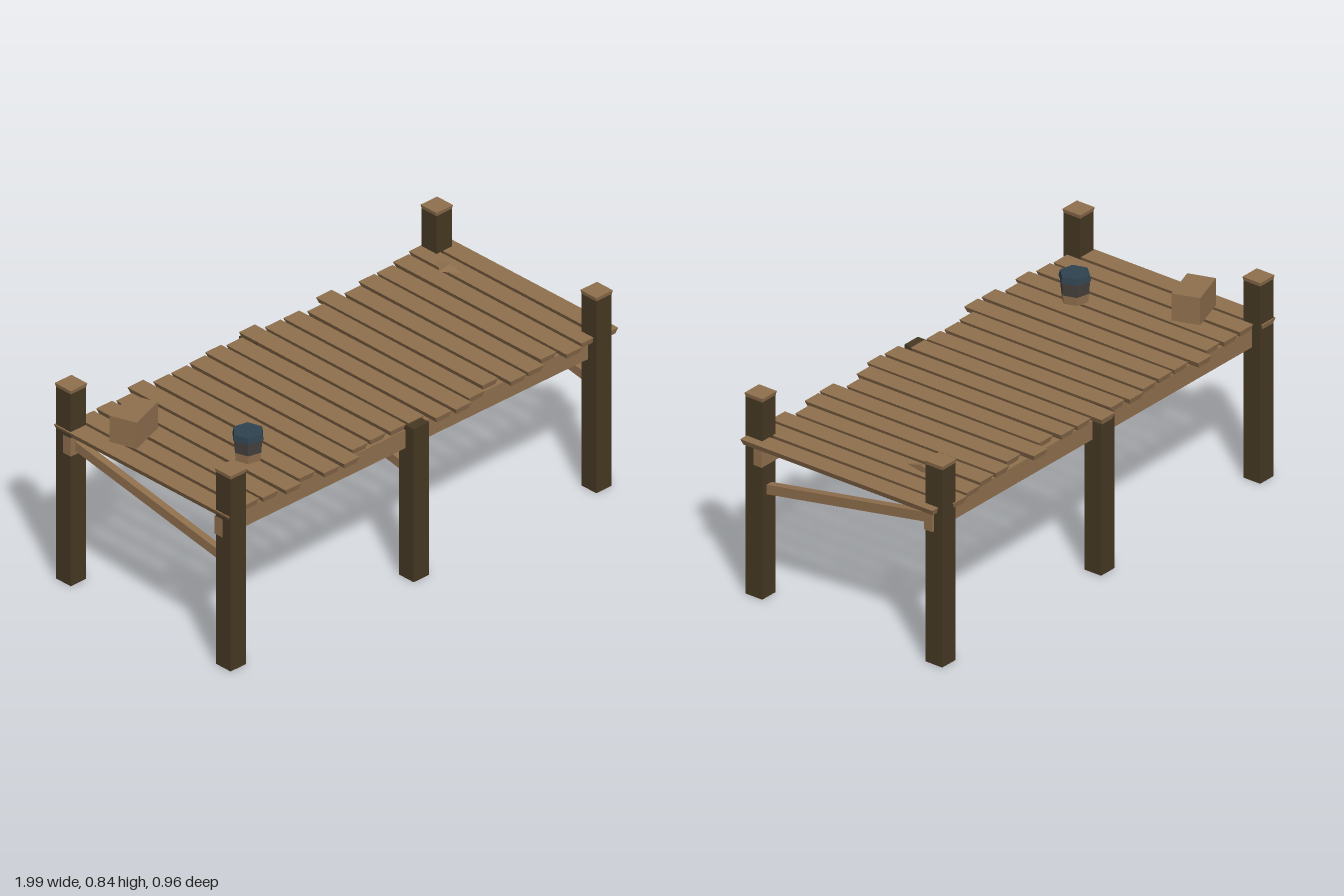
import * as THREE from 'three';

const material = (name, color, extra = {}) => {
  const m = new THREE.MeshStandardMaterial({ color, ...extra });
  m.name = name;
  return m;
};

// Box whose lower face is pulled in by insetX and insetZ on each side
function taperedBox(w, h, d, insetX, insetZ) {
  const g = new THREE.BoxGeometry(w, h, d);
  const p = g.attributes.position;
  for (let i = 0; i < p.count; i++) {
    if (p.getY(i) > 0) continue;
    p.setX(i, p.getX(i) - Math.sign(p.getX(i)) * insetX);
    p.setZ(i, p.getZ(i) - Math.sign(p.getZ(i)) * insetZ);
  }
  g.computeVertexNormals();
  return g;
}

export function createModel() {
  const model = new THREE.Group();
  model.name = 'dock';
  const flat = { flatShading: true };
  const wood = material('plank wood', 0x8f6f4d, flat);
  const darkWood = material('post wood', 0x463823, flat);
  const grey = material('bucket grey', 0x45403c, flat);
  const blue = material('bucket blue', 0x2f424f, flat);

  const add = (name, geometry, mat, x, y, z) => {
    const mesh = new THREE.Mesh(geometry, mat);
    mesh.name = name;
    mesh.position.set(x, y, z);
    model.add(mesh);
    return mesh;
  };

  // Posts, with caps on the four corners and a sloping brace between each pair
  for (const x of [-0.95, -0.014, 0.92]) {
    const corner = Math.abs(x) > 0.5;
    const height = corner ? 0.827 : 0.657;
    for (const z of [0.425, -0.43]) {
      add('post', new THREE.BoxGeometry(0.079, height, 0.079), darkWood, x, height / 2, z);
      if (corner) add('postCap', taperedBox(0.085, 0.016, 0.085, 0.003, 0.003), wood, x, 0.832, z);
    }
    const brace = add('brace', new THREE.BoxGeometry(0.03, 0.039, 0.82), wood, x, 0.52, 0);
    brace.rotation.x = Math.atan2(0.14, 0.78);
  }

  // Long beams under the deck
  add('frontBeam', new THREE.BoxGeometry(1.96, 0.078, 0.04), wood, -0.01, 0.596, 0.4);
  add('backBeam', new THREE.BoxGeometry(1.96, 0.078, 0.04), wood, -0.01, 0.596, -0.41);

  // Deck planks of uneven length
  const backEnds = [0.475, 0.445, 0.45, 0.44, 0.48, 0.445, 0.445, 0.45, 0.465, 0.45, 0.485,
    0.445, 0.445, 0.42, 0.47, 0.42, 0.445, 0.445, 0.46, 0.475, 0.45];
  const frontEnds = [0.46, 0.438, 0.445, 0.465, 0.438, 0.473, 0.476, 0.424, 0.418, 0.424, 0.424,
    0.47, 0.476, 0.45, 0.418, 0.47, 0.465, 0.43, 0.47, 0.45, 0.46];
  backEnds.forEach((back, i) => {
    const front = frontEnds[i];
    const plank = add('plank', taperedBox(0.081, 0.024, front + back, 0.01, 0.006), wood,
      -0.955 + i * 0.0955, 0.65, (front - back) / 2);
    plank.rotation.y = 0.004 * Math.sin(i * 2.3);
  });

  // Crate
  const crate = add('crate', new THREE.BoxGeometry(0.17, 0.113, 0.113), wood, -0.835, 0.718, -0.215);
  crate.rotation.y = 0.33;

  // Bucket: wooden base, grey band and blue top
  const ring = (name, top, bottom, y0, y1, mat) => {
    const part = add(name, new THREE.CylinderGeometry(top, bottom, y1 - y0, 6), mat, -0.64, (y0 + y1) / 2, 0.192);
    part.rotation.y = 0.3;
  };
  ring('bucketBase', 0.056, 0.053, 0.66, 0.697, wood);
  ring('bucketBand', 0.061, 0.056, 0.697, 0.752, grey);
  ring('bucketTop', 0.06, 0.065, 0.752, 0.776, blue);

  // Small wooden wedge near the far end, pointing inward
  const wedge = new THREE.ConeGeometry(1, 1, 4);
  wedge.rotateZ(Math.PI / 2);
  wedge.scale(0.05, 0.013, 0.067);
  add('wedge', wedge, wood, 0.785, 0.696, -0.248);

  return model;
}
